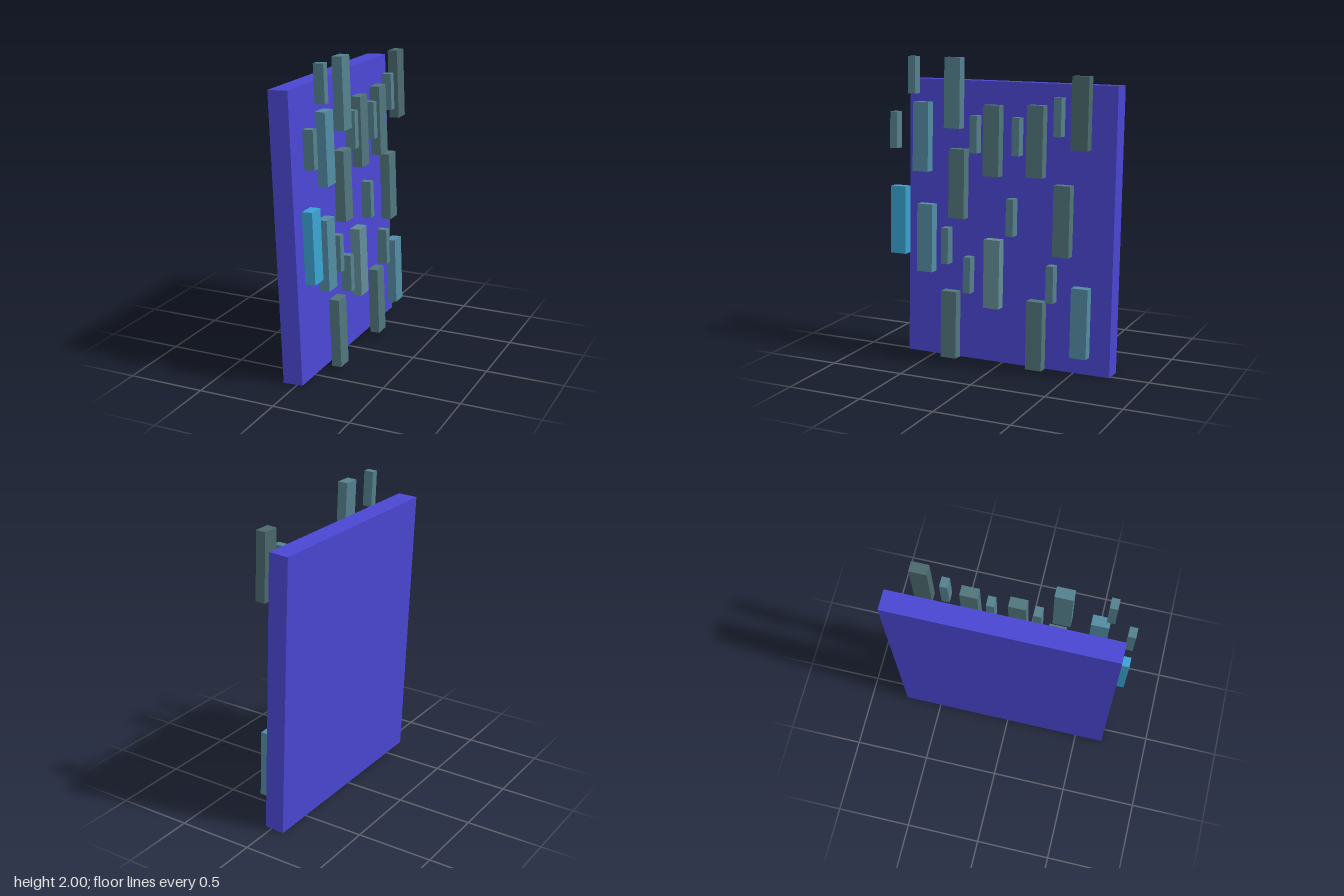
import * as THREE from 'three';

const TILT = 0.042; // everything leans slightly towards -x

export function createModel() {
  const group = new THREE.Group();
  const paint = (color) => new THREE.MeshStandardMaterial({ color });
  const colors = {
    panel: paint(0x4a46d2),
    grey: paint(0x50757c),
    slate: paint(0x54808c),
    dark: paint(0x4a686c),
    pale: paint(0x628c96),
    teal: paint(0x528ba2),
    blue: paint(0x3aa2d0),
  };

  function addBox(name, geometry, material, x, y, z) {
    const mesh = new THREE.Mesh(geometry, material);
    mesh.name = name;
    mesh.position.set(x, y, z);
    mesh.rotation.z = TILT;
    group.add(mesh);
  }

  // Leaning back panel
  addBox('backPanel', new THREE.BoxGeometry(0.131, 1.838, 1.44), colors.panel, -0.063, 0.922, -0.03);

  // Long floating bars: z, y of the centre, colour
  const longBar = new THREE.BoxGeometry(0.066, 0.448, 0.11);
  [
    [0.29, 1.775, 'slate'], [0.52, 1.485, 'teal'], [0.265, 1.195, 'grey'],
    [0.02, 1.485, 'grey'], [-0.277, 1.497, 'grey'], [-0.573, 1.685, 'dark'],
    [-0.457, 1.01, 'grey'], [0.695, 0.925, 'blue'], [0.5, 0.82, 'teal'],
    [0.02, 0.625, 'pale'], [0.332, 0.252, 'grey'], [-0.277, 0.252, 'grey'],
    [-0.58, 0.37, 'teal'],
  ].forEach(([z, y, c], i) => addBox(`longBar${i + 1}`, longBar, colors[c], 0.122, y, z));

  // Short floating bars: z, y of the centre
  const shortBar = new THREE.BoxGeometry(0.066, 0.238, 0.05);
  [
    [0.577, 1.88], [0.717, 1.52], [0.143, 1.52], [-0.148, 1.52], [-0.428, 1.655],
    [-0.108, 1.005], [0.354, 0.78], [0.197, 0.6], [-0.382, 0.6],
  ].forEach(([z, y], i) => addBox(`shortBar${i + 1}`, shortBar, colors.slate, 0.122, y, z));

  return group;
}
